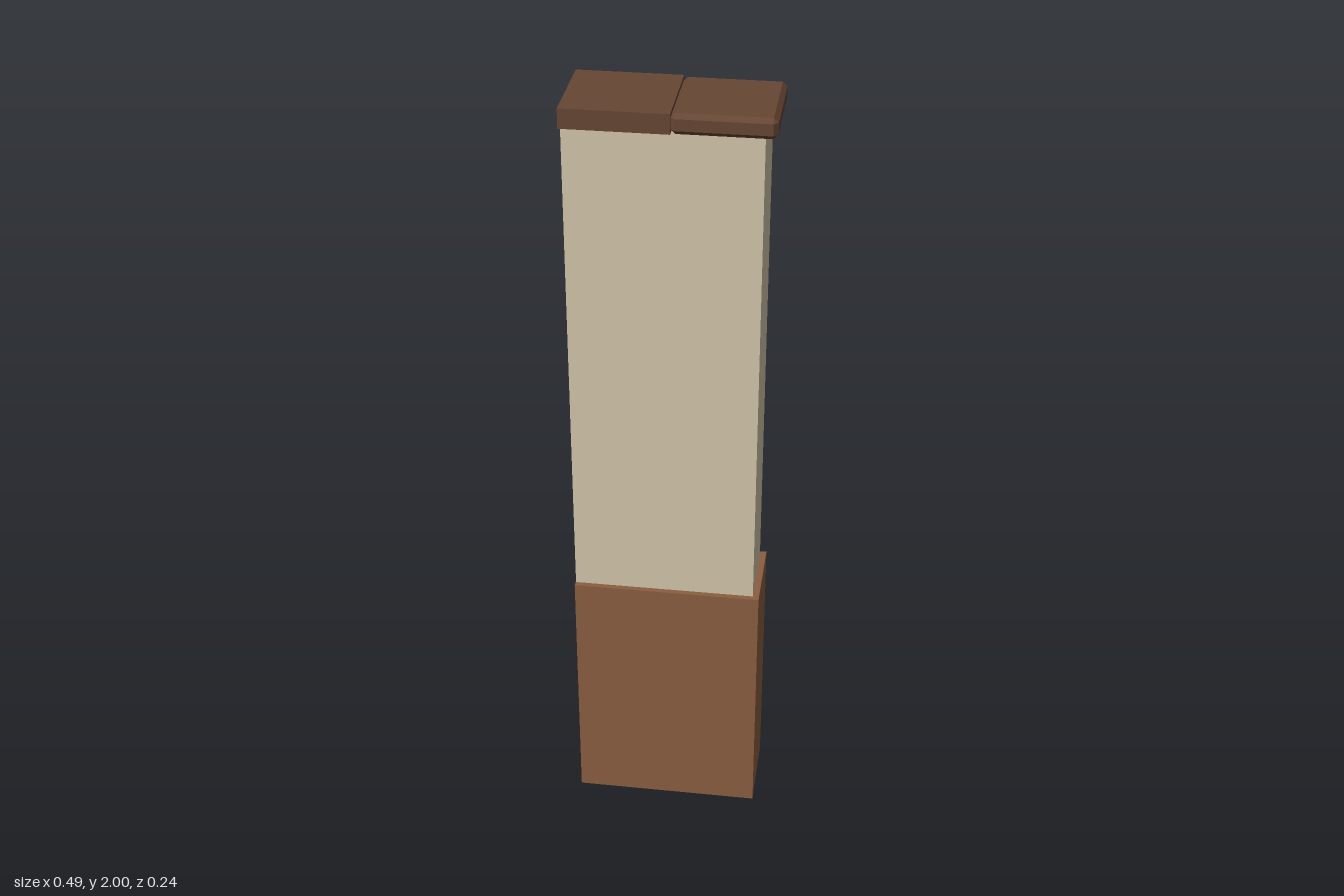
import * as THREE from 'three';
import { ConvexGeometry } from 'three/addons/geometries/ConvexGeometry.js';

const paint = (color) => new THREE.MeshStandardMaterial({ color });

// Box with every edge cut at 45 degrees: each face is inset by the bevel
function chamferedBox(w, h, d, bevel) {
  const half = [w / 2, h / 2, d / 2];
  const points = [];
  for (const sx of [-1, 1]) for (const sy of [-1, 1]) for (const sz of [-1, 1]) {
    for (let axis = 0; axis < 3; axis++) {
      const c = half.map((v, i) => (i === axis ? v : v - bevel));
      points.push(new THREE.Vector3(sx * c[0], sy * c[1], sz * c[2]));
    }
  }
  return new ConvexGeometry(points);
}

export function createModel() {
  const group = new THREE.Group();
  const plaster = paint(0xd2c5a9);
  const wood = paint(0x8b5e40);
  const darkWood = paint(0x674634);

  // Adds a block spanning x0..x1 and y0..y1, centred on z
  function block(name, material, x0, x1, y0, y1, depth, bevel = 0) {
    const w = x1 - x0, h = y1 - y0;
    const geometry = bevel
      ? chamferedBox(w, h, depth, bevel)
      : new THREE.BoxGeometry(w, h, depth);
    const mesh = new THREE.Mesh(geometry, material);
    mesh.name = name;
    mesh.position.set((x0 + x1) / 2, (y0 + y1) / 2, 0);
    group.add(mesh);
  }

  // Plastered wall, with wood panelling around its foot
  block('wall', plaster, -0.245, 0.217, 0.003, 1.953, 0.188);
  block('wainscot', wood, -0.246, 0.233, 0, 0.685, 0.216);

  // Top rail: plain length, then a bevelled end piece
  block('capRail', darkWood, -0.246, 0.007, 1.952, 2, 0.238);
  block('capEnd', darkWood, 0.006, 0.246, 1.95, 2, 0.238, 0.011);

  return group;
}
